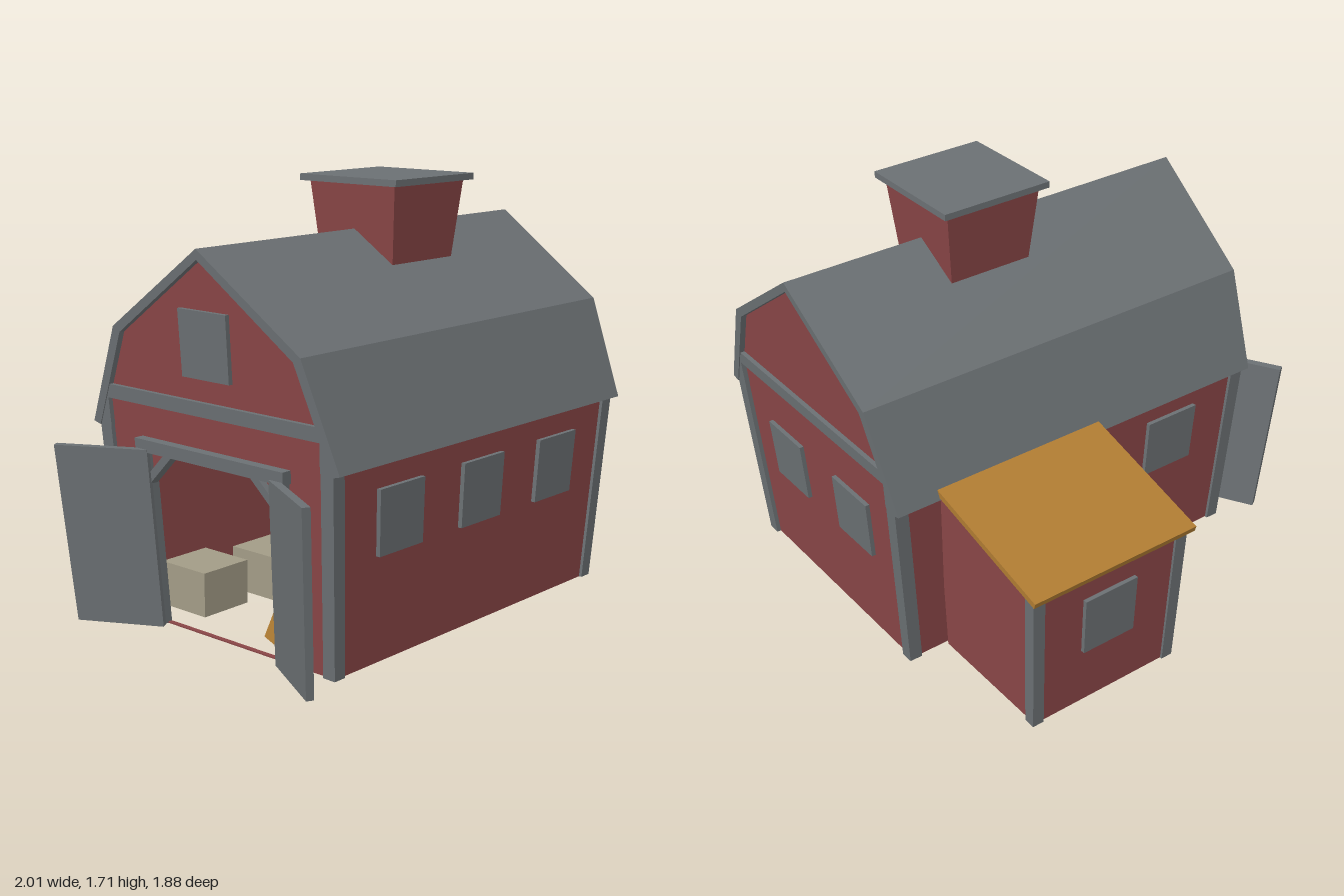
import * as THREE from 'three';

const mat = (name, color) => {
  const m = new THREE.MeshStandardMaterial({ color, flatShading: true, side: THREE.DoubleSide });
  m.name = name;
  return m;
};

// Everything flares outward with height around its group's origin
const FLARE = 0.09;
function flare(geo) {
  const p = geo.attributes.position;
  for (let i = 0; i < p.count; i++) {
    const s = 1 + FLARE * p.getY(i);
    p.setX(i, p.getX(i) * s);
    p.setZ(i, p.getZ(i) * s);
  }
  geo.computeVertexNormals();
  return geo;
}

function add(parent, name, geo, material, bend = true) {
  const mesh = new THREE.Mesh(bend ? flare(geo) : geo, material);
  mesh.name = name;
  parent.add(mesh);
  return mesh;
}

const box = (w, h, d, x, y, z) => new THREE.BoxGeometry(w, h, d).translate(x, y, z);

// Extrudes a [z, y] outline along x, from x0 to x1
function slab(points, x0, x1, hole) {
  const toV = ([z, y]) => new THREE.Vector2(-z, y);
  const shape = new THREE.Shape(points.map(toV));
  if (hole) shape.holes.push(new THREE.Path(hole.map(toV)));
  return new THREE.ExtrudeGeometry(shape, { depth: x1 - x0, bevelEnabled: false })
    .rotateY(Math.PI / 2).translate(x0, 0, 0);
}

// Completes a symmetric outline from its +z half
const mirror = (half) => [...half, ...half.filter(([z]) => z !== 0).reverse().map(([z, y]) => [-z, y])];

export function createModel() {
  const red = mat('barn red', 0x8a4647);
  const grey = mat('slate grey', 0x6b7073);
  const straw = mat('straw', 0xb07c32);
  const crateWood = mat('pale wood', 0xa29b86);

  const model = new THREE.Group();
  model.name = 'barn';
  const barn = new THREE.Group();
  barn.name = 'mainBarn';
  barn.position.set(0.062, 0, 0.285);
  model.add(barn);

  // Gable walls, the -x one with a chamfered doorway
  const gable = mirror([[0.55, 0], [0.55, 0.78], [0.41, 1.15], [0, 1.47]]);
  const doorway = mirror([[0.33, 0.005], [0.33, 0.6], [0.23, 0.7]]);
  add(barn, 'gableWallClosed', slab(gable, 0.78, 0.8), red);
  add(barn, 'gableWallDoorway', slab(gable, -0.8, -0.78, doorway), red);

  // Long walls
  for (const s of [-1, 1]) add(barn, 'longWall', box(1.58, 0.78, 0.02, 0, 0.39, s * 0.54), red);

  // Gambrel roof shell
  const roof = [
    [0.594, 0.775], [0.434, 1.17], [0, 1.505], [-0.434, 1.17], [-0.594, 0.775],
    [-0.561, 0.765], [-0.403, 1.15], [0, 1.465], [0.403, 1.15], [0.561, 0.765],
  ];
  add(barn, 'roof', slab(roof, -0.822, 0.822), grey);

  // Corner posts and gable beams
  const beam = mirror([[0.505, 0.88], [0.505, 0.77], [0.56, 0.77], [0.49, 0.935]]);
  for (const sx of [-1, 1]) {
    for (const sz of [-1, 1]) {
      add(barn, 'cornerPost', box(0.055, 0.79, 0.055, sx * 0.79, 0.395, sz * 0.535), grey);
    }
    const x = sx * 0.805;
    add(barn, 'gableBeam', slab(beam, x - 0.013, x + 0.013), grey);
  }

  // Windows
  for (const x of [-0.465, 0, 0.465]) add(barn, 'frontWindow', box(0.238, 0.255, 0.03, x, 0.545, 0.552), grey);
  add(barn, 'backWindow', box(0.238, 0.255, 0.03, -0.465, 0.545, -0.552), grey);
  for (const s of [-1, 1]) add(barn, 'gableWindow', box(0.03, 0.255, 0.235, 0.802, 0.545, s * 0.235), grey);
  add(barn, 'loftWindow', box(0.03, 0.255, 0.22, -0.802, 1.15, 0), grey);

  // Door frame with braces, and two open doors
  add(barn, 'doorHeader', box(0.06, 0.05, 0.72, -0.81, 0.725, 0), grey);
  for (const s of [-1, 1]) {
    add(barn, 'doorJamb', box(0.05, 0.7, 0.035, -0.805, 0.35, s * 0.335), grey);
    const brace = new THREE.BoxGeometry(0.04, 0.19, 0.03).rotateX(-s * Math.PI / 4).translate(-0.805, 0.64, s * 0.27);
    add(barn, 'doorBrace', brace, grey);
    const door = box(0.03, 0.712, 0.35, 0, 0.356, 0.175)
      .rotateY(-0.51).translate(-0.83, 0, 0.305);
    if (s < 0) door.rotateY(Math.PI).translate(-0, 0, 0);
    if (s < 0) {
      // Bring the half-turned panel back to the doorway end
      const p = door.attributes.position;
      for (let i = 0; i < p.count; i++) p.setX(i, -p.getX(i));
      const idx = door.index.array;
      for (let i = 0; i < idx.length; i += 3) [idx[i], idx[i + 1]] = [idx[i + 1], idx[i]];
    }
    add(barn, 'openDoor', door, grey);
  }

  // Cupola on the ridge
  const cupola = new THREE.Group();
  cupola.name = 'cupola';
  cupola.position.set(0.187, 0, 0.285);
  model.add(cupola);
  const body = new THREE.CylinderGeometry(0.215 * Math.SQRT2, 0.18 * Math.SQRT2, 0.35, 4, 1, true)
    .rotateY(Math.PI / 4).translate(0, 1.508, 0);
  add(cupola, 'cupolaBody', body, red, false);
  add(cupola, 'cupolaCap', box(0.488, 0.026, 0.488, 0, 1.696, 0), grey, false);

  // Lean-to at the back
  const shed = new THREE.Group();
  shed.name = 'leanTo';
  shed.position.set(0.37, 0, -0.28);
  model.add(shed);
  const side = [[0, 0], [-0.58, 0], [-0.58, 0.632], [-0.04, 0.78], [0, 0.78]];
  for (const s of [-1, 1]) {
    add(shed, 'shedSideWall', slab(side, s * 0.32 - 0.01, s * 0.32 + 0.01), red);
    add(shed, 'shedPost', box(0.05, 0.63, 0.05, s * 0.32, 0.315, -0.565), grey);
  }
  add(shed, 'shedBackWall', box(0.64, 0.632, 0.02, 0, 0.316, -0.57), red);
  add(shed, 'shedWindow', box(0.235, 0.255, 0.03, 0, 0.39, -0.582), grey);
  add(shed, 'shedDoor', slab([[-0.03, 0], [-0.33, 0], [-0.33, 0.62], [-0.03, 0.7]], -0.342, -0.315), grey);
  add(shed, 'shedRoof', slab([[-0.05, 0.787], [-0.612, 0.63], [-0.618, 0.655], [-0.05, 0.815]], -0.36, 0.36), straw);

  // Hay piles and crates inside
  for (const [x, z, r, h] of [[0.26, 0.53, 0.3, 0.22], [-0.4, 0.54, 0.28, 0.2], [-0.07, 0.58, 0.2, 0.13]]) {
    const hay = new THREE.SphereGeometry(1, 8, 3, 0, Math.PI * 2, 0, Math.PI / 2).scale(r, h, r * 0.95);
    add(model, 'hayPile', hay, straw, false).position.set(x, 0.002, z);
  }
  for (const [x, z] of [[-0.15, -0.02], [-0.48, -0.09]]) {
    add(model, 'crate', box(0.24, 0.18, 0.24, x, 0.09, z), crateWood, false);
  }
  return model;
}
